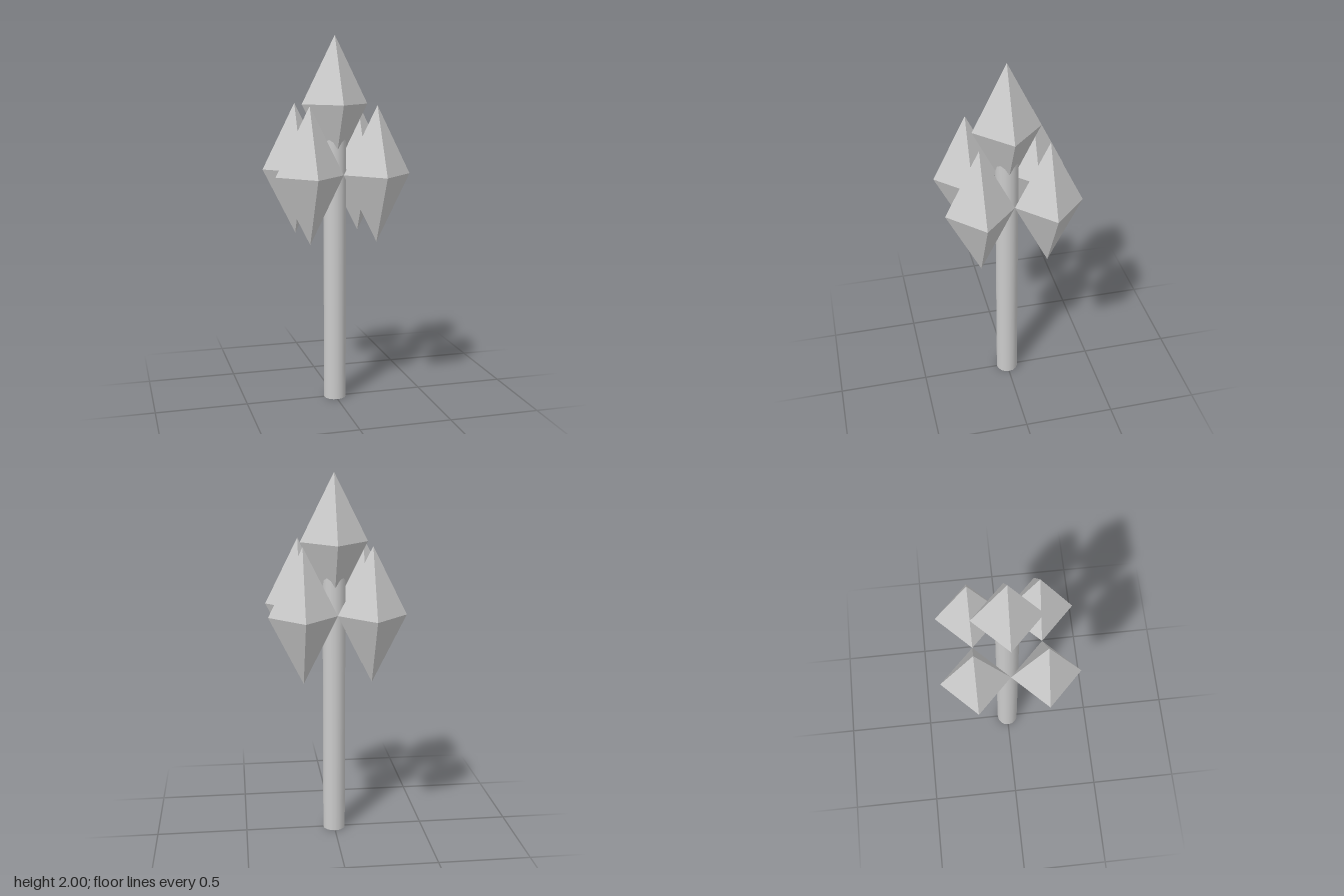
import * as THREE from 'three';

export function createModel() {
  const group = new THREE.Group();
  const R = 0.1815; // half width of a crystal
  const H = 0.362; // half height of a crystal

  const crystalMaterial = new THREE.MeshStandardMaterial({ color: 0xcccccc, flatShading: true });
  const stemMaterial = new THREE.MeshStandardMaterial({ color: 0xcccccc, side: THREE.DoubleSide });

  // Open round stem, its upper end hidden inside the top crystal
  const stemHeight = 1.46;
  const stem = new THREE.Mesh(
    new THREE.CylinderGeometry(0.062, 0.062, stemHeight, 16, 1, true),
    stemMaterial
  );
  stem.name = 'stem';
  stem.position.y = stemHeight / 2;
  group.add(stem);

  // Tall octahedral crystals
  const crystalGeometry = new THREE.OctahedronGeometry(1, 0).scale(R, H, R);
  const addCrystal = (name, x, y, z) => {
    const crystal = new THREE.Mesh(crystalGeometry, crystalMaterial);
    crystal.name = name;
    crystal.position.set(x, y, z);
    group.add(crystal);
  };

  // One on top, four around it touching at their side corners
  addCrystal('topCrystal', 0, 2 - H, 0);
  for (const [side, sx] of [['Left', 1], ['Right', -1]]) {
    for (const [end, sz] of [['front', 1], ['back', -1]]) {
      addCrystal(`${end}${side}Crystal`, sx * R, 2 - 2 * H, sz * R);
    }
  }
  return group;
}
